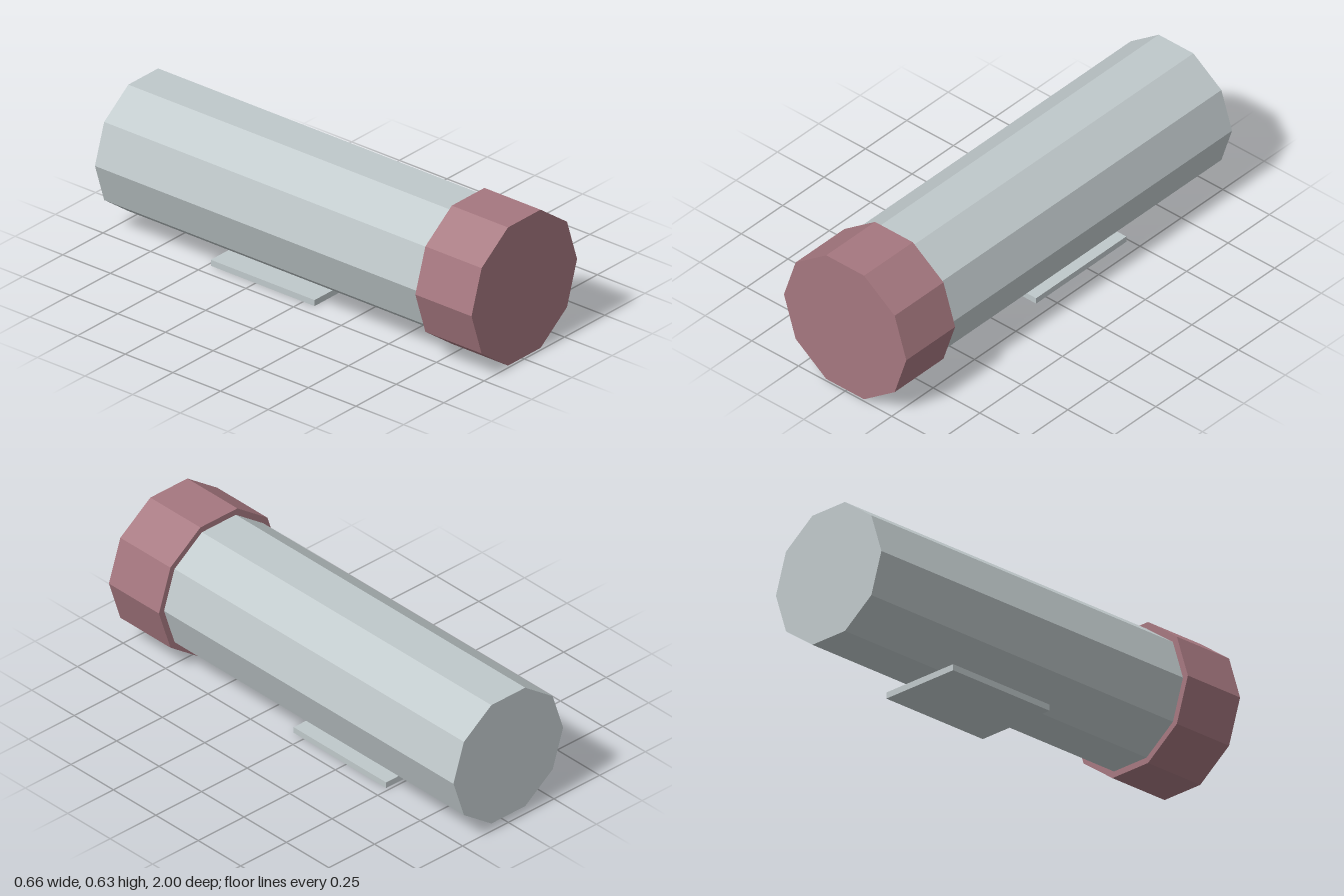
import * as THREE from 'three';

const SIDES = 10;
const AXIS_Y = 0.322;

export function createModel() {
  const grey = new THREE.MeshStandardMaterial({ name: 'paleGrey', color: 0xbfc8ca, flatShading: true });
  const rose = new THREE.MeshStandardMaterial({ name: 'dustyRose', color: 0xa5777f, flatShading: true });
  const group = new THREE.Group();
  group.name = 'cappedTube';

  const add = (name, geometry, material, y, z) => {
    const mesh = new THREE.Mesh(geometry, material);
    mesh.name = name;
    mesh.position.set(0, y, z);
    group.add(mesh);
  };

  // Ten-sided prism lying along z, with corners at +x and -x
  const addPrism = (name, radius, z0, z1, material) => {
    const geometry = new THREE.CylinderGeometry(radius, radius, z1 - z0, SIDES, 1, false, Math.PI / 2);
    geometry.rotateX(Math.PI / 2);
    add(name, geometry, material, AXIS_Y, (z0 + z1) / 2);
  };

  // Long body, seated slightly inside the wider front cap
  addPrism('body', 0.3, -1, 0.72, grey);
  addPrism('frontCap', 0.328, 0.705, 1, rose);

  // Thin plate just below the body
  add('basePlate', new THREE.BoxGeometry(0.38, 0.027, 0.545), grey, 0.0135, -0.2125);

  return group;
}
